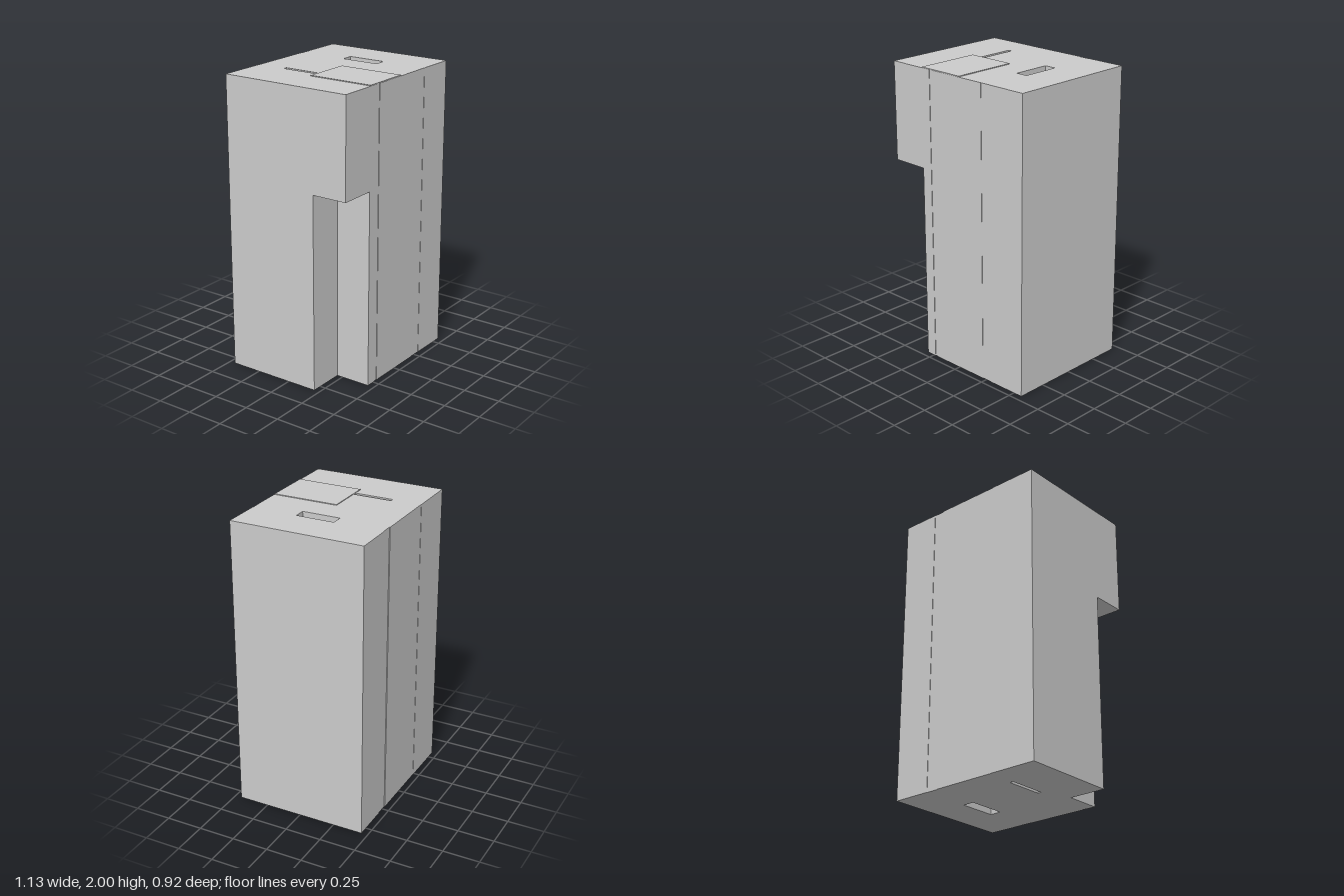
import * as THREE from 'three';

const material = new THREE.MeshStandardMaterial({ color: 0xcccccc, flatShading: true });

// Rectangular hole in plan, given by its x and z limits
function slot(x0, x1, z0, z1) {
  return new THREE.Path([[x0, z0], [x1, z0], [x1, z1], [x0, z1]].map(([x, z]) => new THREE.Vector2(x, -z)));
}

// Box given by its limits on each axis
function block(name, [x0, x1], [y0, y1], [z0, z1]) {
  const mesh = new THREE.Mesh(new THREE.BoxGeometry(x1 - x0, y1 - y0, z1 - z0), material);
  mesh.position.set((x0 + x1) / 2, (y0 + y1) / 2, (z0 + z1) / 2);
  mesh.name = name;
  return mesh;
}

export function createModel() {
  const group = new THREE.Group();
  group.name = 'notchedTower';
  const top = 1.995;

  // Tower plan: notched front corner and slightly stepped front and back faces
  const plan = new THREE.Shape([
    [-0.565, 0.21], [-0.31, 0.21], [-0.31, 0.455],
    [-0.235, 0.455], [-0.235, 0.452], [-0.21, 0.452], [-0.21, 0.455],
    [0.22, 0.455], [0.22, 0.453], [0.3, 0.453], [0.3, 0.455], [0.565, 0.455],
    [0.565, -0.456], [0.3, -0.456], [0.3, -0.453], [0.22, -0.453],
    [0.22, -0.458], [-0.235, -0.458], [-0.235, -0.46], [-0.565, -0.46],
  ].map(([x, z]) => new THREE.Vector2(x, -z)));

  // Two shafts running through the full height
  plan.holes.push(slot(-0.235, -0.21, -0.26, 0.005), slot(0.22, 0.3, -0.12, 0.14));

  const geometry = new THREE.ExtrudeGeometry(plan, { depth: top, bevelEnabled: false });
  geometry.rotateX(-Math.PI / 2);
  const tower = new THREE.Mesh(geometry, material);
  tower.name = 'tower';

  group.add(
    tower,
    // Upper storeys hanging over the open corner
    block('overhang', [-0.565, -0.31], [1.33, top], [0.21, 0.455]),
    // Thin slab on the roof
    block('roofSlab', [-0.305, 0.028], [top, 2], [0.005, 0.452]),
  );
  return group;
}
